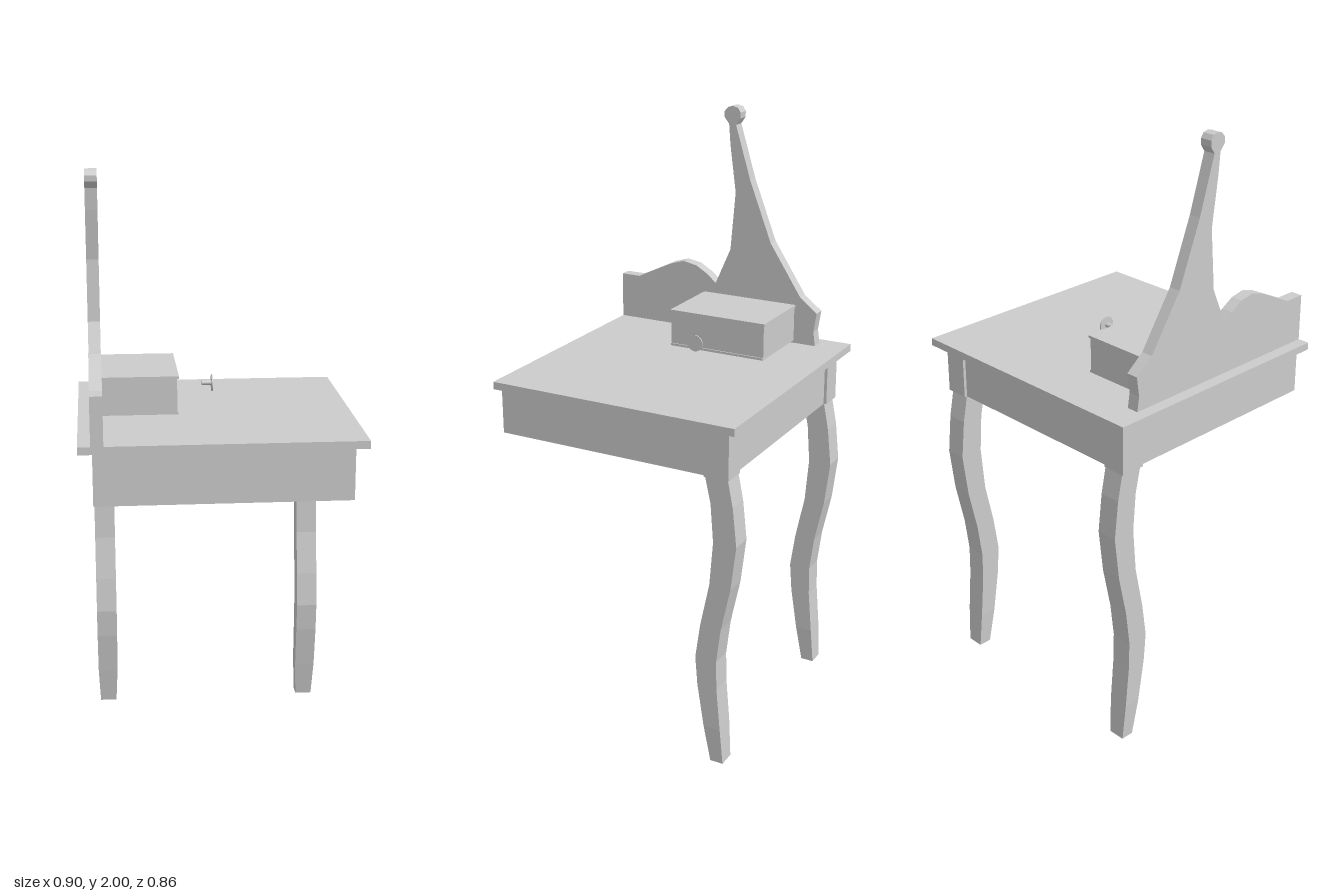
import * as THREE from 'three';

export function createModel() {
  const group = new THREE.Group();
  const paint = new THREE.MeshStandardMaterial({ color: 0xcccccc });
  paint.name = 'light grey';

  function add(name, geometry) {
    const mesh = new THREE.Mesh(geometry, paint);
    mesh.name = name;
    group.add(mesh);
    return mesh;
  }

  // Box given by its limits on each axis
  function box(name, [x0, x1], [y0, y1], [z0, z1]) {
    const mesh = add(name, new THREE.BoxGeometry(x1 - x0, y1 - y0, z1 - z0));
    mesh.position.set((x0 + x1) / 2, (y0 + y1) / 2, (z0 + z1) / 2);
    return mesh;
  }

  // Table top and closed apron, flush at the front
  box('tableTop', [-0.45, 0.45], [1.185, 1.21], [-0.43, 0.43]);
  box('apron', [-0.405, 0.405], [1.02, 1.185], [-0.385, 0.43]);

  // Curved legs: rows of [y, front z, back z, half width]
  const rows = [
    [1.02, -0.31, -0.388, 0.036], [0.93, -0.33, -0.406, 0.036],
    [0.80, -0.34, -0.42, 0.036], [0.65, -0.328, -0.402, 0.036],
    [0.50, -0.297, -0.37, 0.036], [0.38, -0.28, -0.355, 0.036],
    [0.28, -0.288, -0.357, 0.036], [0.13, -0.311, -0.37, 0.035],
    [0, -0.334, -0.379, 0.029],
  ];
  function legGeometry() {
    const n = rows.length - 1;
    const geo = new THREE.BoxGeometry(2, n, 2, 1, n, 1).toNonIndexed();
    const p = geo.attributes.position;
    for (let i = 0; i < p.count; i++) {
      const [y, front, back, half] = rows[Math.round(n / 2 - p.getY(i))];
      p.setXYZ(i, p.getX(i) * half, y, p.getZ(i) > 0 ? front : back);
    }
    geo.computeVertexNormals();
    return geo;
  }
  for (const [side, s] of [['left', 1], ['right', -1]]) {
    add(side + 'Leg', legGeometry()).position.x = s * 0.369;
    const xs = s > 0 ? [0.335, 0.415] : [-0.415, -0.335];
    box(side + 'CornerPost', xs, [1.02, 1.185], [-0.395, -0.31]);
  }

  // Scrolled upright panel, profile as [z, y]
  const profile = [
    [0.43, 1.21], [0.43, 1.367], [0.36, 1.367], [0.23, 1.43], [0.18, 1.445],
    [0.13, 1.436], [0.085, 1.41], [0.053, 1.382], [-0.003, 1.51], [-0.02, 1.71],
    [0.002, 1.87], [0.008, 1.94], [0.026, 1.962], [0.026, 1.98], [0.013, 1.995],
    [-0.005, 2], [-0.024, 1.995], [-0.034, 1.98], [-0.033, 1.96], [-0.018, 1.938],
    [-0.074, 1.757], [-0.155, 1.55], [-0.27, 1.375], [-0.333, 1.326],
    [-0.323, 1.26], [-0.33, 1.21],
  ];
  const shape = new THREE.Shape(profile.map(([z, y]) => new THREE.Vector2(-z, y)));
  const panel = add('uprightPanel',
    new THREE.ExtrudeGeometry(shape, { depth: 0.04, bevelEnabled: false }));
  panel.rotation.y = Math.PI / 2;
  panel.position.x = -0.41;

  // Small drawer case with slightly inset front
  box('drawerBody', [-0.37, -0.126], [1.225, 1.34], [-0.25, 0.095]);
  box('drawerLid', [-0.37, -0.12], [1.338, 1.346], [-0.254, 0.097]);
  box('drawerBase', [-0.37, -0.122], [1.219, 1.227], [-0.25, 0.095]);

  // Drawer knob: stem and thin disc along x
  for (const [name, r, len, x] of [['knobStem', 0.008, 0.034, -0.018], ['knobDisc', 0.028, 0.004, -0.001]]) {
    const knob = add(name, new THREE.CylinderGeometry(r, r, len, 20));
    knob.rotation.z = -Math.PI / 2;
    knob.position.set(x, 1.286, -0.06);
  }

  return group;
}
